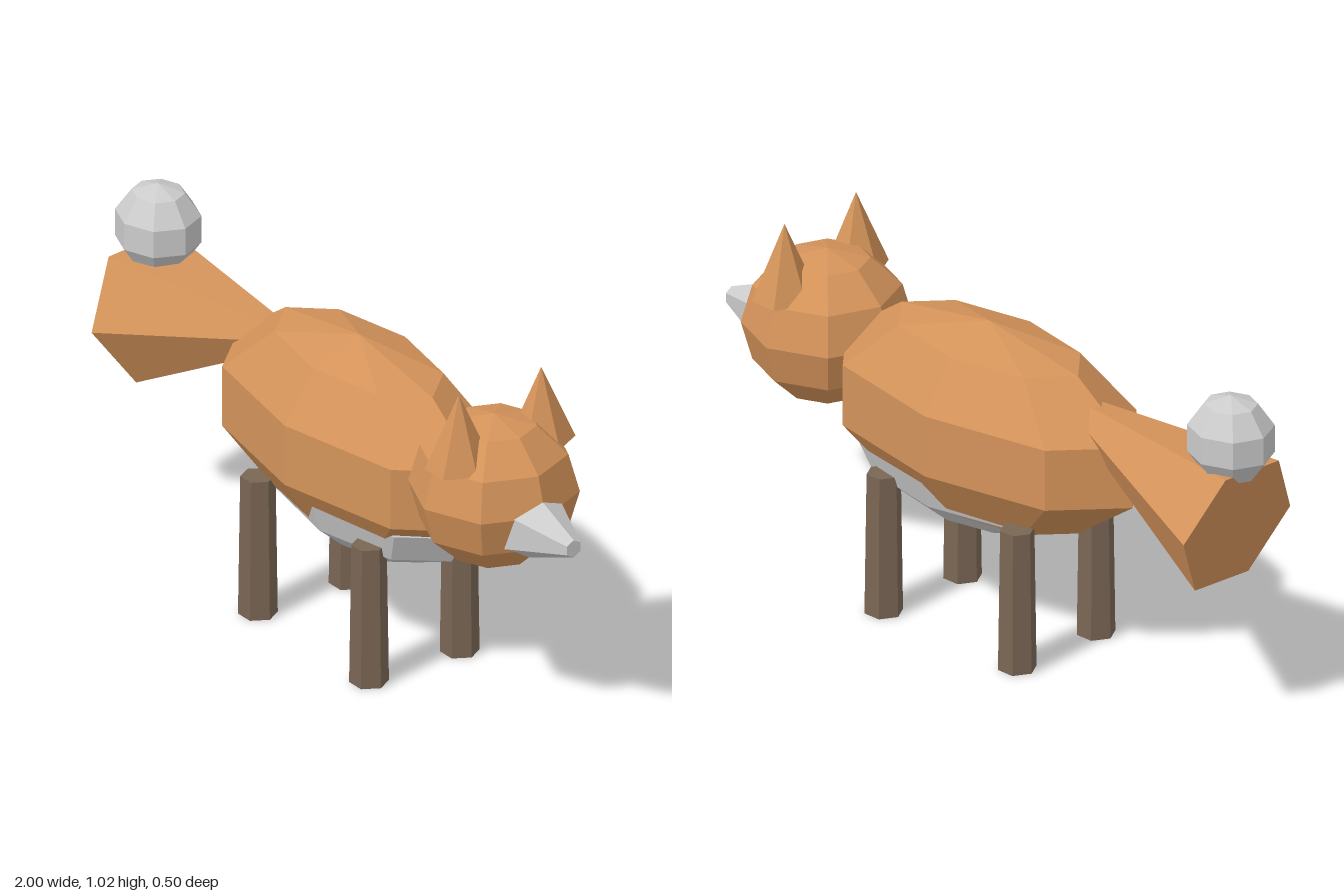
import * as THREE from 'three';

const material = (color) => new THREE.MeshStandardMaterial({ color, flatShading: true });

export function createModel() {
  const model = new THREE.Group();
  model.name = 'fox';
  const fur = material(0xd4935a);
  const pale = material(0xcccccc);
  const brown = material(0x7a6654);

  const add = (name, geometry, mat, x, y, z) => {
    const mesh = new THREE.Mesh(geometry, mat);
    mesh.name = name;
    mesh.position.set(x, y, z);
    model.add(mesh);
    return mesh;
  };
  // Faceted ellipsoid with eight sides
  const blob = (rx, ry, rz, rows) => new THREE.SphereGeometry(1, 8, rows).scale(rx, ry, rz);
  // Six-sided tapered post with corners pointing along x
  const hexPost = (top, bottom, height) =>
    new THREE.CylinderGeometry(top, bottom, height, 6).rotateY(Math.PI / 6);

  // Body, belly and head
  add('body', blob(0.565, 0.29, 0.263, 5), fur, 0.03, 0.61, 0);
  add('belly', blob(0.415, 0.18, 0.205, 6), pale, 0.09, 0.475, 0);
  add('head', blob(0.232, 0.22, 0.235, 6), fur, 0.64, 0.693, 0);

  // Blunt snout pointing along +x
  add('snout', hexPost(0.026, 0.108, 0.2).rotateZ(-Math.PI / 2), pale, 0.9, 0.65, 0);

  // Ears and legs, mirrored across z
  for (const side of [1, -1]) {
    const ear = new THREE.ConeGeometry(0.084, 0.217, 6).rotateY(Math.PI / 6).scale(1, 1, 1.15);
    add(side > 0 ? 'nearEar' : 'farEar', ear, fur, 0.667, 0.9135, side * 0.138);
    for (const [name, x] of [['foreLeg', 0.28], ['hindLeg', -0.222]]) {
      add(name, hexPost(0.048, 0.054, 0.415), brown, x, 0.2075, side * 0.152);
    }
  }

  // Flared tail with a round tip resting on its end
  const tail = new THREE.CylinderGeometry(0.04, 0.21, 0.6, 6).rotateY(0.07).rotateZ(-1.319);
  add('tail', tail, fur, -0.609, 0.675, 0);
  add('tailTip', blob(0.129, 0.128, 0.12, 5), pale, -0.877, 0.855, 0);

  return model;
}
